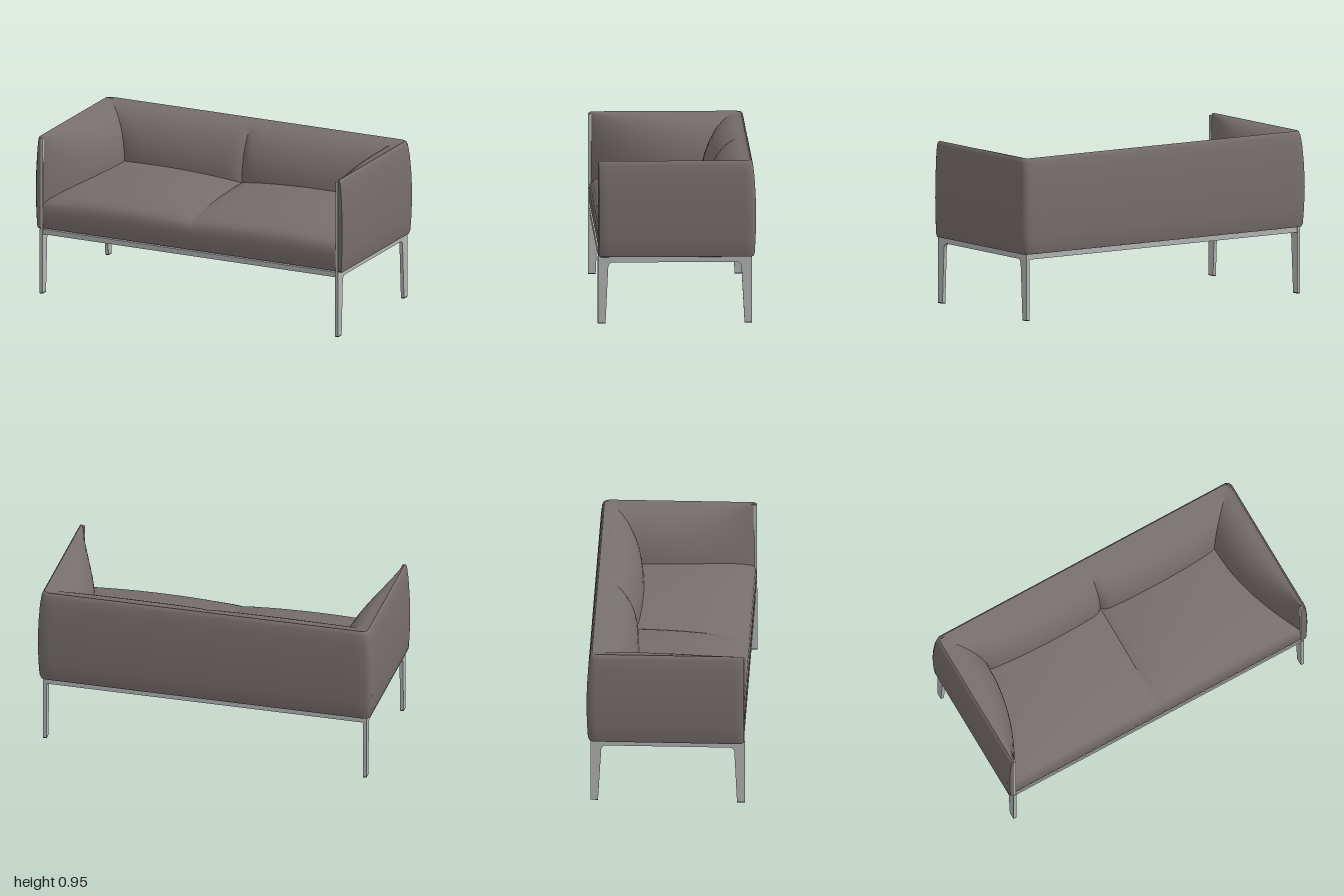
import * as THREE from 'three';
import { toCreasedNormals } from 'three/addons/utils/BufferGeometryUtils.js';

const fabric = new THREE.MeshStandardMaterial({ color: 0x766e6c });
fabric.name = 'taupe upholstery';
const metal = new THREE.MeshStandardMaterial({ color: 0xb2b5b4 });
metal.name = 'satin metal';
const rubber = new THREE.MeshStandardMaterial({ color: 0x3a3939 });
rubber.name = 'dark glides';

// Closed loft through rings of [x, y, z] points, with fan caps at both ends
function loft(rings) {
  const n = rings[0].length, pos = [], idx = [];
  rings.forEach(r => r.forEach(p => pos.push(...p)));
  for (let i = 0; i < rings.length - 1; i++) {
    for (let j = 0; j < n; j++) {
      const a = i * n + j, b = i * n + (j + 1) % n;
      idx.push(a, a + n, b, b, a + n, b + n);
    }
  }
  [0, rings.length - 1].forEach((r, end) => {
    const c = pos.length / 3;
    for (let k = 0; k < 3; k++) pos.push(rings[r].reduce((s, p) => s + p[k], 0) / n);
    for (let j = 0; j < n; j++) {
      const a = r * n + j, b = r * n + (j + 1) % n;
      idx.push(c, end ? b : a, end ? a : b);
    }
  });
  const g = new THREE.BufferGeometry();
  g.setAttribute('position', new THREE.Float32BufferAttribute(pos, 3));
  g.setIndex(idx);
  return toCreasedNormals(g, 0.7);
}

const swell = u => Math.pow(Math.max(0, Math.sin(Math.PI * Math.min(1, u))), 0.6);

// Symmetric samples from -1 to 1, denser at the middle seam
function seamSamples(n) {
  const out = [];
  for (let i = -n; i <= n; i++) out.push(Math.sign(i) * Math.pow(Math.abs(i / n), 1.3));
  return out;
}

// Arms and back: one padded wall swept in a U, mitred at the rear corners.
// Each profile point: depth from the outer face, height, extra padding weight.
function wallGeometry() {
  const profile = [[0.03, 0.387, 0], [0.014, 0.39, 0], [0.008, 0.41, 0], [0.003, 0.5, 0], [0, 0.62, 0],
    [0.003, 0.75, 0], [0.01, 0.86, 0], [0.018, 0.925, 0], [0.024, 0.944, 0], [0.032, 0.95, 0]];
  for (let i = 0; i <= 12; i++) {
    const a = (1 - i / 12) * Math.PI / 2;
    profile.push([0.042, 0.62 + 0.325 * Math.sin(a), Math.cos(a)]);
  }
  profile.push([0.042, 0.5, 1], [0.042, 0.387, 1]);
  const outer = 10, PAD = 0.21, back = -0.457;

  const armRing = (side, t) => profile.map(([d0, y0, w], j) => {
    let d = d0, y = y0;
    if (t === 0) { d += (0.028 - d) * 0.35; y += (0.67 - y) * 0.03; }
    if (t === 1 && j < outer) d += 0.01;
    const zEnd = back + d + PAD * w;
    const z = 0.455 + (zEnd - 0.455) * t;
    const u = Math.max(0, (z + 0.2) / 0.655);
    return [side * (1 - d - PAD * w * (1 - u * u)), y, z];
  });
  const backRing = s => profile.map(([d0, y, w]) => {
    const x = s * (1 - d0 - PAD * w);
    const seam = 0.02 * Math.exp(-Math.pow(s / 0.025, 2));
    return [x, y, back + d0 + w * (PAD + 0.03 * swell(Math.abs(s)) - seam)];
  });

  const ts = [0, 0.015, 0.06];
  for (let i = 1; i <= 11; i++) ts.push(0.06 + i * 0.08);
  ts.push(0.97, 1);
  const ss = seamSamples(16).filter(s => Math.abs(s) < 0.96);
  ss.push(0.97);
  ss.unshift(-0.97);
  return loft([
    ...ts.map(t => armRing(1, t)),
    ...ss.reverse().map(backRing),
    ...ts.slice().reverse().map(t => armRing(-1, t)),
  ]);
}

// Seat: rounded front profile, plumped into two cushions with a centre seam.
// Each profile point: z, height, plump weight.
function seatGeometry() {
  const profile = [[0.43, 0.388, 0], [0.446, 0.393, 0], [0.453, 0.43, 0], [0.455, 0.49, 0.1], [0.45, 0.525, 0.25],
    [0.435, 0.546, 0.4], [0.4, 0.561, 0.55], [0.32, 0.578, 0.75], [0.2, 0.595, 0.9], [0.05, 0.607, 1],
    [-0.1, 0.613, 1], [-0.25, 0.615, 1], [-0.3, 0.615, 1], [-0.3, 0.388, 0]];
  return loft(seamSamples(20).map(s =>
    profile.map(([z, y, w]) => [s * 0.952, y + 0.045 * w * swell(Math.abs(s)), z])));
}

// Side frame: two tapered legs joined by a rail with rounded inner corners
function sideFrameGeometry() {
  const s = new THREE.Shape();
  s.moveTo(0.46, 0.006);
  s.lineTo(0.46, 0.39);
  s.lineTo(-0.433, 0.39);
  s.lineTo(-0.433, 0.006);
  s.lineTo(-0.39, 0.006);
  s.lineTo(-0.372, 0.325);
  s.quadraticCurveTo(-0.37, 0.356, -0.34, 0.356);
  s.lineTo(0.368, 0.356);
  s.quadraticCurveTo(0.398, 0.356, 0.4, 0.325);
  s.lineTo(0.415, 0.006);
  s.closePath();
  const g = new THREE.ExtrudeGeometry(s, { depth: 0.02, bevelEnabled: false, curveSegments: 8 });
  g.rotateY(-Math.PI / 2);
  g.translate(0.01, 0, 0);
  return g;
}

export function createModel() {
  const model = new THREE.Group();
  model.name = 'sofa';
  const add = (name, geometry, material, x = 0, y = 0, z = 0) => {
    const m = new THREE.Mesh(geometry, material);
    m.name = name;
    m.position.set(x, y, z);
    model.add(m);
  };
  const box = (w, h, d) => new THREE.BoxGeometry(w, h, d);

  // Upholstery
  add('armsAndBack', wallGeometry(), fabric);
  add('seatCushions', seatGeometry(), fabric);
  add('undersidePanel', box(1.9, 0.012, 0.85), fabric, 0, 0.386, 0);

  // Frame: sides with legs, slim arm-edge strips and glides
  for (const side of [1, -1]) {
    const name = side > 0 ? 'left' : 'right';
    add(name + 'SideFrame', sideFrameGeometry(), metal, side * 0.957, 0, 0);
    add(name + 'ArmStrip', box(0.012, 0.55, 0.02), metal, side * 0.956, 0.662, 0.448);
    add(name + 'FrontGlide', box(0.02, 0.006, 0.045), rubber, side * 0.957, 0.003, 0.4375);
    add(name + 'RearGlide', box(0.02, 0.006, 0.043), rubber, side * 0.957, 0.003, -0.4115);
  }

  // Long rails
  add('frontRail', box(1.9, 0.03, 0.02), metal, 0, 0.373, 0.442);
  add('rearRail', box(1.9, 0.03, 0.02), metal, 0, 0.373, -0.422);
  return model;
}
